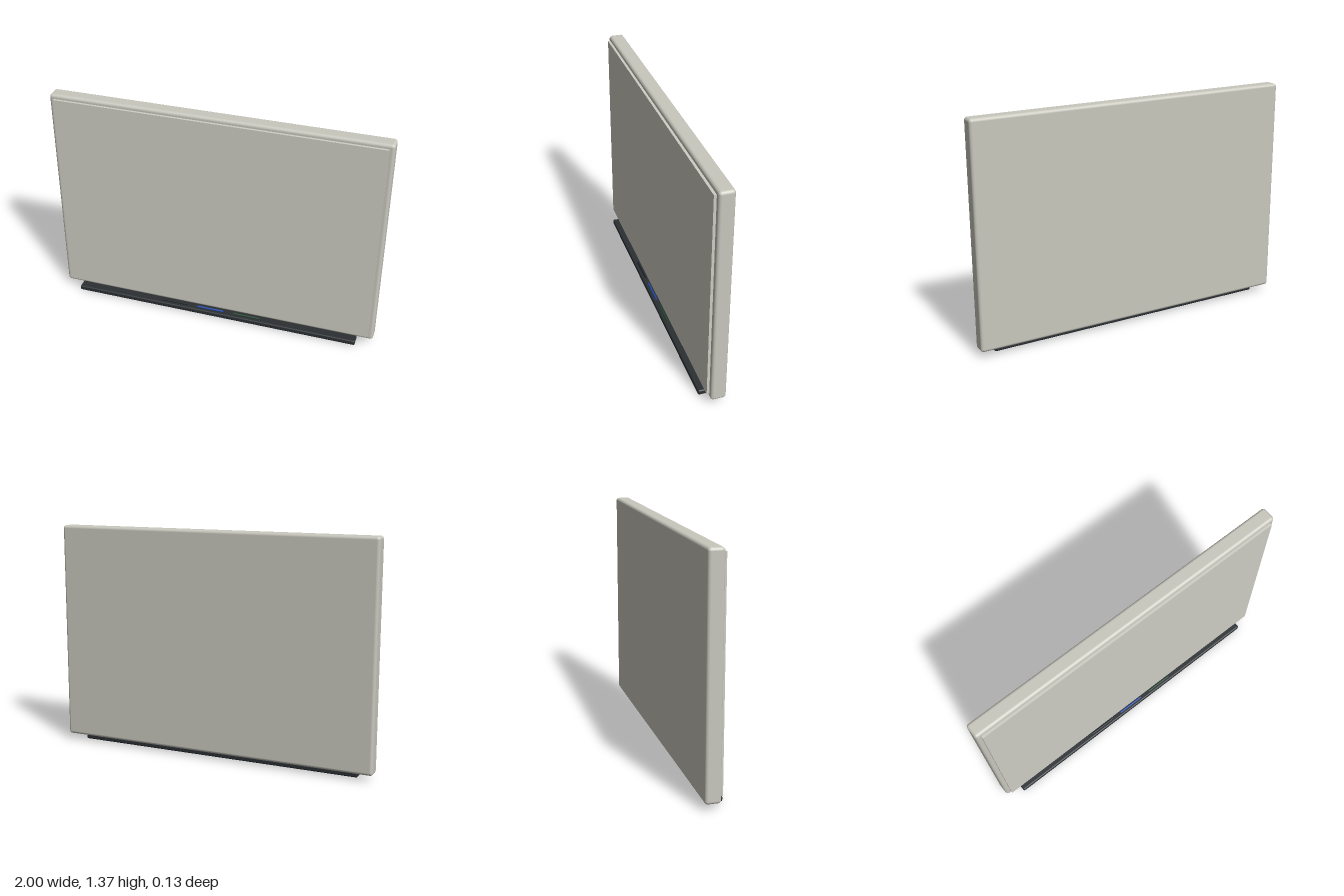
import * as THREE from 'three';
import { RoundedBoxGeometry } from 'three/addons/geometries/RoundedBoxGeometry.js';

const material = (color) => new THREE.MeshStandardMaterial({ color });

export function createModel() {
  const group = new THREE.Group();

  function add(name, geometry, mat, x, y, z) {
    const mesh = new THREE.Mesh(geometry, mat);
    mesh.name = name;
    mesh.position.set(x, y, z);
    group.add(mesh);
    return mesh;
  }

  // Thick rounded board body
  add('boardFrame', new RoundedBoxGeometry(2, 1.33, 0.09, 4, 0.018), material(0xc9c8be), 0, 0.703, -0.018);

  // Thin writing panel standing proud of the front
  add('writingSurface', new THREE.BoxGeometry(1.94, 1.274, 0.018), material(0xcfcec4), 0, 0.705, 0.033);

  // Pen tray below the board
  add('penTray', new RoundedBoxGeometry(1.8, 0.031, 0.074, 4, 0.009), material(0x2b3033), 0, 0.0155, 0.028);

  // Three markers lying above the tray
  const markers = [
    ['blackMarker', -0.253, 0x202428],
    ['blueMarker', -0.018, 0x2348a8],
    ['greenMarker', 0.215, 0x24452f],
  ];
  for (const [name, x, color] of markers) {
    const geometry = new THREE.CylinderGeometry(0.006, 0.006, 0.168, 16).rotateZ(Math.PI / 2);
    add(name, geometry, material(color), x, 0.042, 0.046);
  }

  return group;
}
